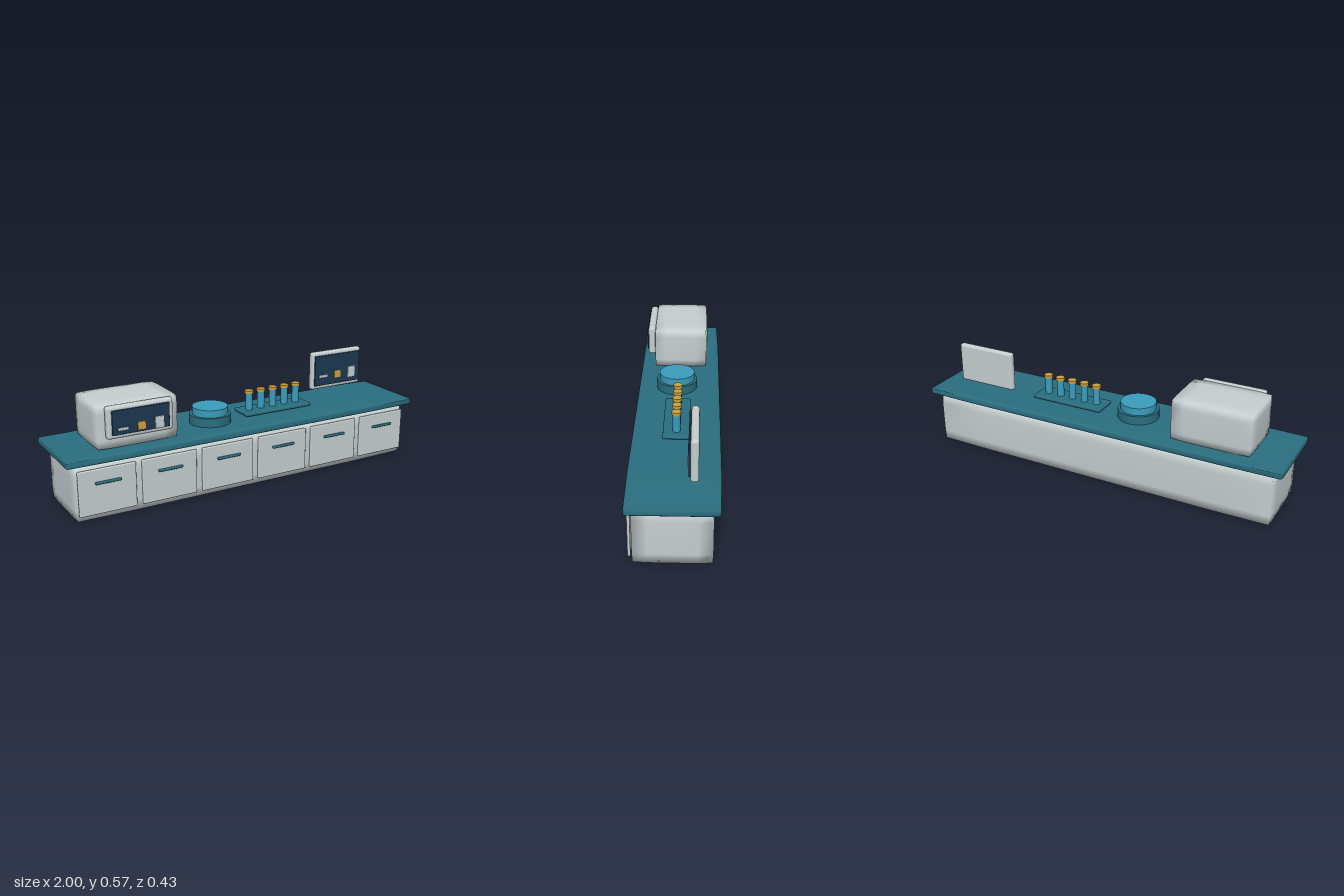
import * as THREE from 'three';
import { mergeVertices } from 'three/addons/utils/BufferGeometryUtils.js';
import { RoundedBoxGeometry } from 'three/addons/geometries/RoundedBoxGeometry.js';

const material = (name, color) => {
  const m = new THREE.MeshStandardMaterial({ color });
  m.name = name;
  return m;
};

// Softly bulging box: inner vertex rows at the given fractions, edges pulled in, smooth normals
function softBox(w, h, d, fractions, pull) {
  let g = new THREE.BoxGeometry(1, 1, 1, 3, 3, 3);
  g.deleteAttribute('uv');
  g.deleteAttribute('normal');
  g = mergeVertices(g, 1e-4);
  const p = g.attributes.position;
  const size = [w, h, d];
  for (let i = 0; i < p.count; i++) {
    const v = [p.getX(i), p.getY(i), p.getZ(i)];
    const outer = v.filter((c) => Math.abs(c) > 0.4).length;
    const inset = outer < 2 ? 0 : outer === 2 ? pull : pull * 1.4;
    const q = v.map((c, a) => Math.sign(c) * (Math.abs(c) > 0.4
      ? size[a] / 2 - inset
      : (size[a] / 2) * fractions[a]));
    p.setXYZ(i, q[0], q[1], q[2]);
  }
  g.computeVertexNormals();
  return g;
}

export function createModel() {
  const model = new THREE.Group();
  model.name = 'labBench';
  const pale = material('paleGrey', 0xc6ced0);
  const teal = material('teal', 0x2a6e7f);
  const blue = material('brightBlue', 0x3b9dbd);
  const gold = material('gold', 0xcda03c);
  const navy = material('navy', 0x1c3750);

  const add = (parent, name, geometry, mat, x, y, z) => {
    const mesh = new THREE.Mesh(geometry, mat);
    mesh.name = name;
    mesh.position.set(x, y, z);
    parent.add(mesh);
    return mesh;
  };
  const group = (name) => {
    const g = new THREE.Group();
    g.name = name;
    model.add(g);
    return g;
  };
  const rounded = (w, h, d, r) => new RoundedBoxGeometry(w, h, d, 3, r);

  // Cabinet and worktop
  add(model, 'cabinet', softBox(1.914, 0.28, 0.372, [0.7, 0.6, 0.6], 0.006), pale, 0, 0.142, 0);
  add(model, 'worktop', softBox(2, 0.042, 0.428, [0.68, 0.55, 0.92], 0.005), teal, 0, 0.304, 0);

  // Six drawer fronts with bar handles
  const drawers = group('drawers');
  for (let i = 0; i < 6; i++) {
    const x = (i - 2.5) * 0.321;
    add(drawers, 'drawerFront', rounded(0.29, 0.226, 0.014, 0.006), pale, x, 0.149, 0.192);
    add(drawers, 'drawerHandle', rounded(0.13, 0.013, 0.014, 0.005), teal, x, 0.195, 0.206);
  }

  // Screen with three raised readouts, facing +z
  function addScreen(parent, x, y, z, w, h, s) {
    add(parent, 'screen', rounded(w, h, 0.009, 0.003), navy, x, y, z);
    const readouts = [
      ['readoutBar', -0.32, -0.032, 0.055, 0.014, pale],
      ['readoutGold', 0, -0.03, 0.042, 0.042, gold],
      ['readoutPale', 0.315, -0.029, 0.048, 0.062, pale],
    ];
    for (const [name, dx, dy, rw, rh, mat] of readouts) {
      add(parent, name, rounded(rw * s, rh * s, 0.006, 0.002), mat, x + dx * w, y + dy, z + 0.005);
    }
  }

  // Bench-top analyser
  const analyser = group('analyser');
  add(analyser, 'analyserBody', softBox(0.42, 0.222, 0.294, [0.66, 0.6, 0.55], 0.006), pale, -0.615, 0.432, -0.001);
  add(analyser, 'analyserBezel', rounded(0.336, 0.158, 0.04, 0.014), pale, -0.617, 0.461, 0.16);
  addScreen(analyser, -0.617, 0.462, 0.182, 0.292, 0.12, 0.95);

  // Upright monitor
  const monitor = group('monitor');
  add(monitor, 'monitorCase', rounded(0.33, 0.21, 0.037, 0.014), pale, 0.69, 0.469, -0.093);
  addScreen(monitor, 0.69, 0.47, -0.07, 0.302, 0.17, 1);

  // Round mixer
  const mixer = group('mixer');
  add(mixer, 'mixerBase', new THREE.CylinderGeometry(0.107, 0.107, 0.048, 32), teal, -0.163, 0.347, 0.012);
  add(mixer, 'mixerPlate', new THREE.CylinderGeometry(0.092, 0.092, 0.04, 32), blue, -0.163, 0.389, 0.012);

  // Rack of capped tubes
  const rack = group('tubeRack');
  add(rack, 'rackBase', rounded(0.4, 0.018, 0.132, 0.007), teal, 0.223, 0.338, 0);
  for (let i = 0; i < 5; i++) {
    const x = 0.22 + (i - 2) * 0.0725;
    add(rack, 'tube', new THREE.CylinderGeometry(0.019, 0.019, 0.1, 16), blue, x, 0.389, 0);
    add(rack, 'tubeCap', new THREE.CylinderGeometry(0.023, 0.023, 0.015, 16), gold, x, 0.444, 0);
  }

  return model;
}
